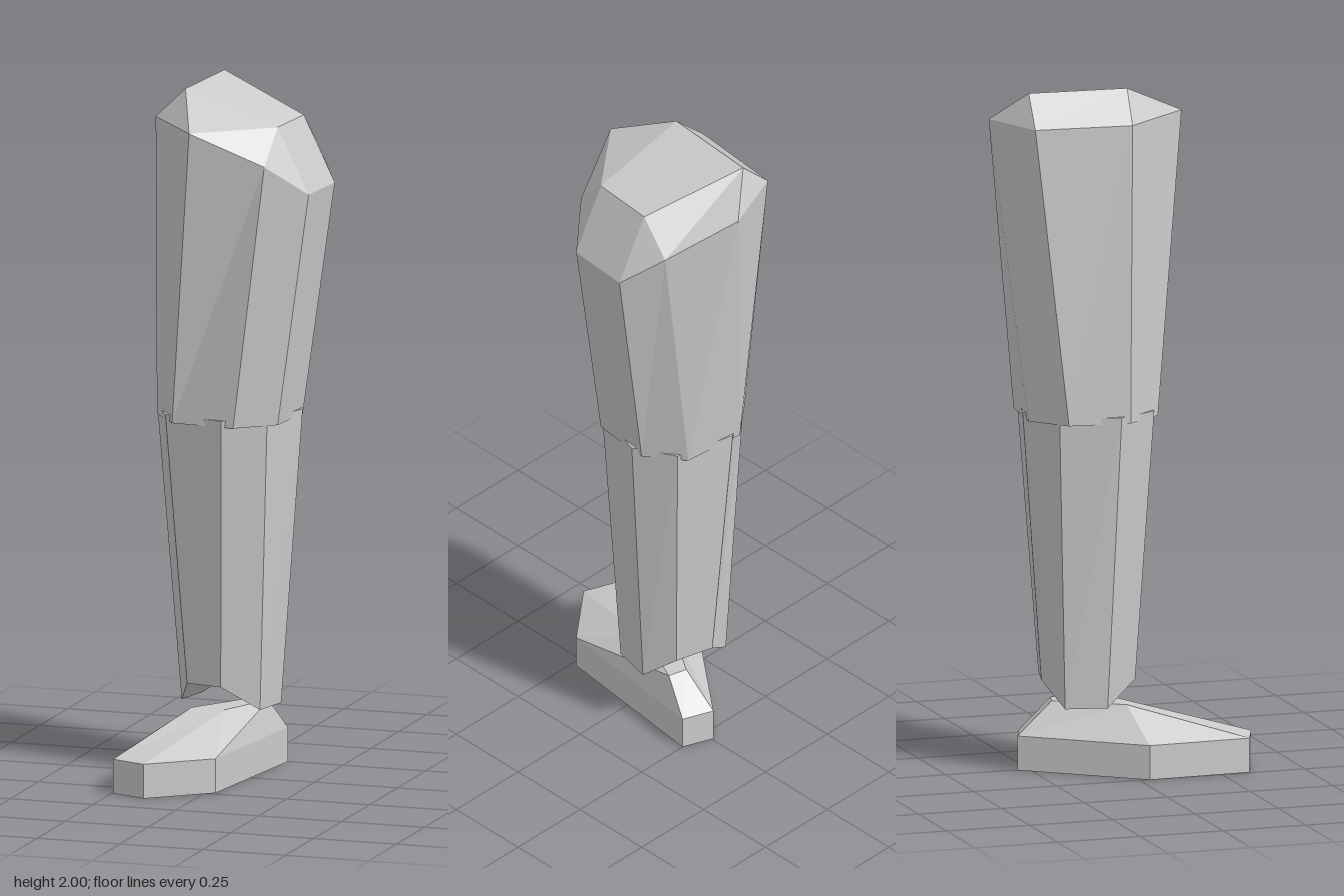
import * as THREE from 'three';

const material = new THREE.MeshStandardMaterial({ color: 0xcccccc, flatShading: true });

// Skins a stack of matching rings (bottom to top) and closes both ends with strips.
function loft(name, rings) {
  const pos = [];
  const n = rings[0].length;
  const tri = (a, b, c) => {
    if (a.join() !== b.join() && b.join() !== c.join() && c.join() !== a.join()) pos.push(...a, ...b, ...c);
  };
  const quad = (a, b, c, d) => { tri(a, b, c); tri(a, c, d); };
  for (let r = 0; r < rings.length - 1; r++) {
    for (let i = 0; i < n; i++) {
      const j = (i + 1) % n;
      quad(rings[r][i], rings[r][j], rings[r + 1][j], rings[r + 1][i]);
    }
  }
  const bottom = rings[0], top = rings[rings.length - 1];
  for (let i = 0; i < n / 2 - 1; i++) {
    quad(top[i], top[i + 1], top[n - 2 - i], top[n - 1 - i]);
    quad(bottom[n - 1 - i], bottom[n - 2 - i], bottom[i + 1], bottom[i]);
  }
  const geometry = new THREE.BufferGeometry();
  geometry.setAttribute('position', new THREE.Float32BufferAttribute(pos, 3));
  geometry.computeVertexNormals();
  const mesh = new THREE.Mesh(geometry, material);
  mesh.name = name;
  return mesh;
}

// Places flat [x, z] outlines at a height
const level = (y, points) => points.map(([x, z]) => [x, y, z]);

export function createModel() {
  const leg = new THREE.Group();
  leg.name = 'leg';

  // Thigh: octagonal knee, slanted hip rim, four-cornered crown
  const crown = [[-0.14, 2, 0], [0.145, 1.91, 0.02], [0.16, 1.91, -0.17], [-0.12, 2, -0.29]];
  leg.add(loft('thigh', [
    level(1.04, [[-0.15, 0.09], [0.04, 0.108], [0.145, 0.02], [0.16, -0.16],
      [0.08, -0.268], [-0.11, -0.287], [-0.215, -0.2], [-0.233, -0.02]]),
    [[-0.065, 1.91, 0.19], [0.135, 1.81, 0.11], [0.24, 1.72, 0.025], [0.255, 1.72, -0.165],
      [0.17, 1.81, -0.265], [-0.015, 1.91, -0.375], [-0.21, 1.91, -0.3], [-0.235, 1.91, -0.015]],
    [0, 1, 1, 2, 2, 3, 3, 0].map((i) => crown[i]),
  ]));

  // Calf: tapered octagon with an arched notch above the ankle
  leg.add(loft('calf', [
    [[-0.175, 0.2, -0.07], [-0.125, 0.27, 0.03], [-0.015, 0.27, 0.055], [0.085, 0.2, 0],
      [0.11, 0.2, -0.115], [0.06, 0.27, -0.2], [-0.055, 0.27, -0.23], [-0.15, 0.2, -0.19]],
    level(1.06, [[-0.242, -0.05], [-0.177, 0.07], [0.005, 0.113], [0.12, 0.04],
      [0.17, -0.13], [0.105, -0.25], [-0.075, -0.293], [-0.19, -0.22]]),
  ]));

  // Foot: six-sided sole with a sloped instep
  const sole = [[-0.245, 0.335], [-0.14, 0.375], [0.03, 0.235], [0.085, -0.25], [-0.005, -0.285], [-0.255, 0.03]];
  const ankle = [[-0.12, 0.005], [-0.02, 0.01], [0.055, -0.165], [0, -0.18]];
  leg.add(loft('foot', [
    level(0, sole),
    level(0.1, sole),
    level(0.195, [0, 1, 1, 2, 3, 0].map((i) => ankle[i])),
  ]));

  return leg;
}
